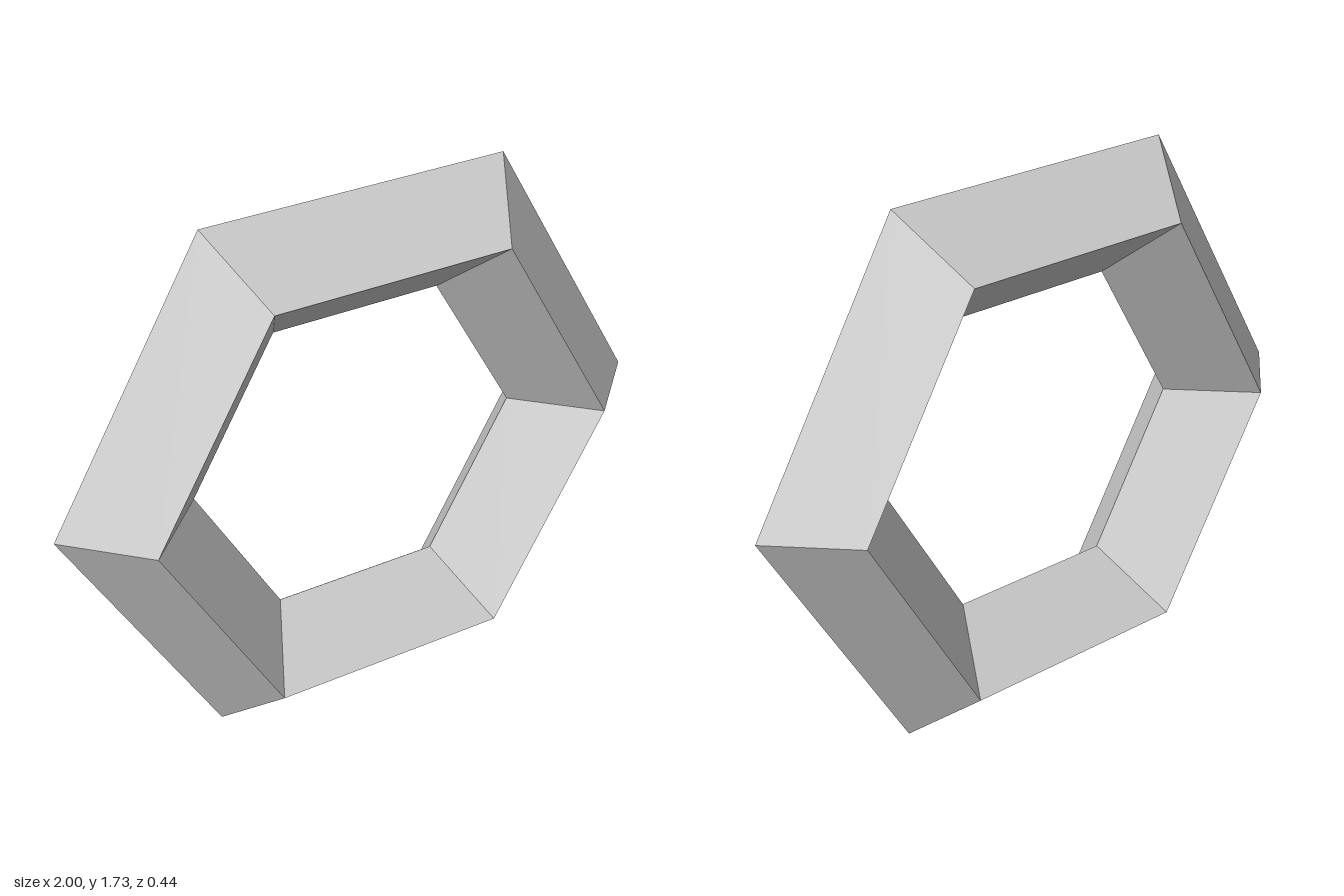
import * as THREE from 'three';

export function createModel() {
  const group = new THREE.Group();
  group.name = 'hexagonalRing';

  // Six-sided ring with a diamond cross-section, standing on one flat side
  const ringRadius = 7 / 9;
  const tubeRadius = 2 / 9;
  const ring = new THREE.Mesh(
    new THREE.TorusGeometry(ringRadius, tubeRadius, 4, 6),
    new THREE.MeshStandardMaterial({ color: 0xcccccc, flatShading: true })
  );
  ring.name = 'ring';
  ring.position.y = (ringRadius + tubeRadius) * Math.sin(Math.PI / 3);
  group.add(ring);

  return group;
}
